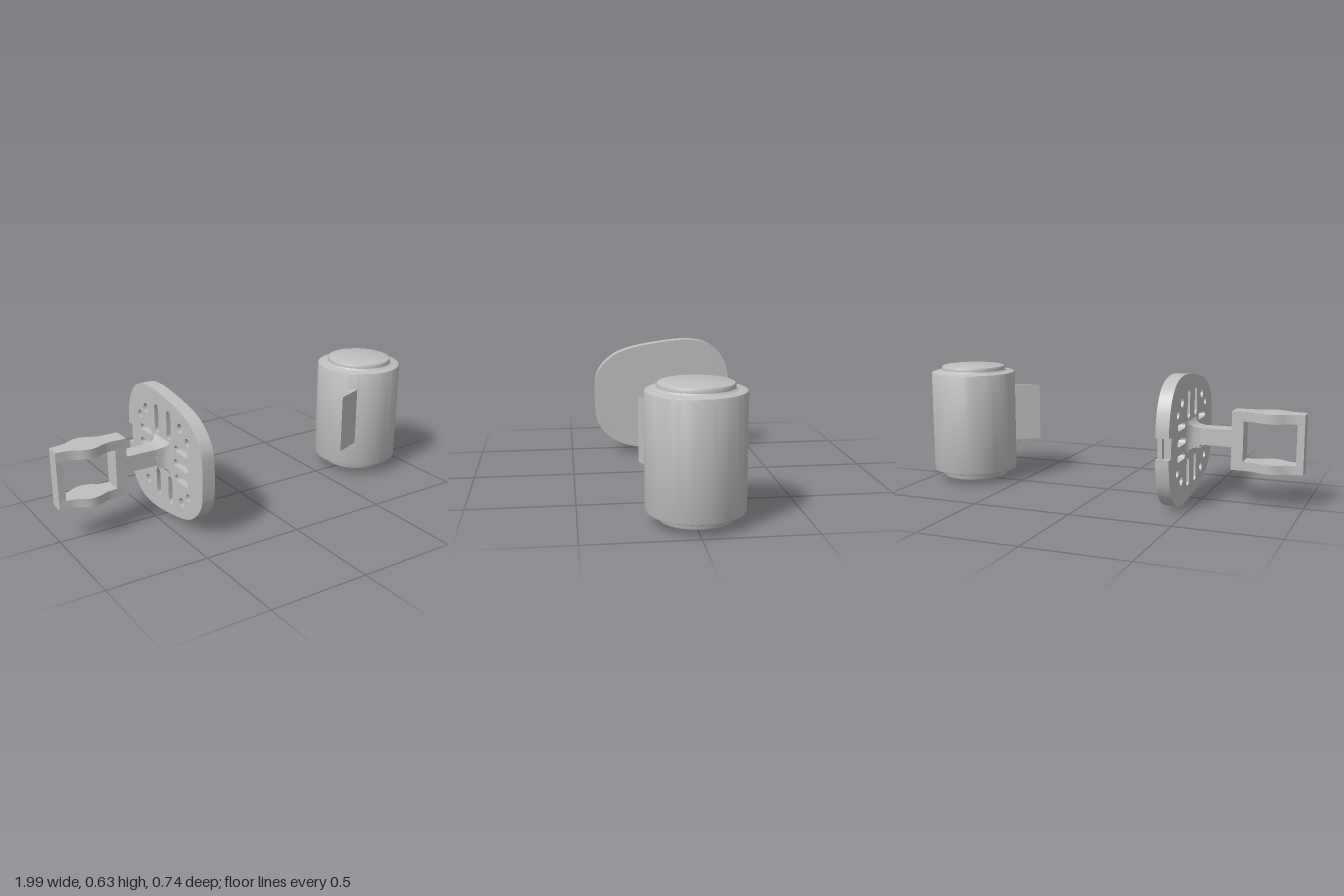
import * as THREE from 'three';
import { toCreasedNormals } from 'three/addons/utils/BufferGeometryUtils.js';

const MID = 0.316; // height of the plate's symmetry line
const V = (x, y) => new THREE.Vector2(x, y);

export function createModel() {
  const group = new THREE.Group();
  const grey = new THREE.MeshStandardMaterial({ color: 0xbfbfbf });
  grey.name = 'grey plastic';

  const add = (name, geo, parent = group, crease = 0.6) => {
    const mesh = new THREE.Mesh(toCreasedNormals(geo, crease), grey);
    mesh.name = name;
    parent.add(mesh);
    return mesh;
  };
  const extrude = (shape, depth) =>
    new THREE.ExtrudeGeometry(shape, { depth, bevelEnabled: false, curveSegments: 12 });
  // shape in (-z, y), pushed along x from x0 to x1
  const alongX = (shape, x0, x1) => extrude(shape, x1 - x0).rotateY(Math.PI / 2).translate(x0, 0, 0);
  // shape in (x, -z), pushed along y from y0 to y1
  const alongY = (shape, y0, y1) => extrude(shape, y1 - y0).rotateX(-Math.PI / 2).translate(0, y0, 0);
  const box = (x0, x1, y0, y1, z0, z1) => new THREE.BoxGeometry(x1 - x0, y1 - y0, z1 - z0)
    .translate((x0 + x1) / 2, (y0 + y1) / 2, (z0 + z1) / 2);

  // ---- Canister: stepped, bevelled body of revolution ----
  const canister = new THREE.Group();
  canister.name = 'canister';
  group.add(canister);
  const profile = [
    [0, 0.017], [0.155, 0.017], [0.163, 0.020], [0.167, 0.028], [0.167, 0.042], [0.172, 0.051], [0.180, 0.055],
    [0.210, 0.055], [0.217, 0.058], [0.220, 0.066], [0.220, 0.572], [0.217, 0.580], [0.210, 0.583],
    [0.180, 0.583], [0.172, 0.586], [0.167, 0.593], [0.167, 0.604], [0.163, 0.612], [0.155, 0.615], [0, 0.615],
  ].map(([r, y]) => V(r, y));
  add('canisterBody', new THREE.LatheGeometry(profile, 64).translate(0.776, 0, -0.008), canister);

  // Wedge-shaped tab on the canister's side
  const wedge = new THREE.Shape([V(0.491, -0.212), V(0.655, -0.150), V(0.66, -0.09), V(0.603, -0.128)]);
  add('canisterTab', alongY(wedge, 0.195, 0.495), canister, 0.2);

  // ---- Mounting plate ----
  const plate = new THREE.Group();
  plate.name = 'mountingPlate';
  group.add(plate);
  const upper = new THREE.CatmullRomCurve3([
    [0.371, 0.366], [0.367, 0.425], [0.345, 0.508], [0.303, 0.572], [0.24, 0.613], [0.14, 0.631],
    [-0.04, 0.615], [-0.20, 0.582], [-0.27, 0.550], [-0.33, 0.497], [-0.360, 0.445], [-0.369, 0.38], [-0.371, MID],
  ].map(([u, y]) => new THREE.Vector3(u, y, 0))).getPoints(64).map(p => V(p.x, p.y));
  const lower = upper.slice(0, -1).reverse().map(p => V(p.x, 2 * MID - p.y));
  const rim = [...upper, ...lower];
  // Closed outline with the edge notch cut in to the given depth
  const outline = notch => new THREE.Shape([V(notch, MID + 0.05), ...rim, V(notch, MID - 0.05)]);

  const slot = (u0, v0, u1, v1, r) => {
    const a = Math.atan2(v1 - v0, u1 - u0);
    const path = new THREE.Path();
    path.absarc(u1, v1, r, a - Math.PI / 2, a + Math.PI / 2);
    path.absarc(u0, v0, r, a + Math.PI / 2, a + Math.PI * 1.5);
    path.closePath();
    return path;
  };
  const hole = (u, v, r) => {
    const path = new THREE.Path();
    path.absarc(u, v, r, 0, Math.PI * 2);
    return path;
  };

  // Back layer with blind holes and slots
  const back = outline(0.335);
  for (const su of [-1, 1]) {
    back.holes.push(slot(su * 0.12, MID, su * 0.22, MID, 0.018));
    for (const sv of [-1, 1]) {
      back.holes.push(
        slot(su * 0.06, MID + sv * 0.115, su * 0.06, MID + sv * 0.22, 0.02),
        slot(su * 0.13, MID + sv * 0.075, su * 0.22, MID + sv * 0.075, 0.016),
        hole(su * 0.17, MID + sv * 0.19, 0.024),
        hole(su * 0.235, MID + sv * 0.14, 0.02),
      );
    }
  }
  add('plateBack', alongX(back, -0.443, -0.408), plate);
  add('platePanel', alongX(outline(0.363), -0.408, -0.386), plate);

  // Raised lip around the panel, open at the notch
  const inner = rim.map(p => V(p.x * 0.945, MID + (p.y - MID) * 0.94)).reverse();
  inner[0].y = MID - 0.05;
  inner[inner.length - 1].y = MID + 0.05;
  add('plateLip', alongX(new THREE.Shape([...rim, ...inner]), -0.386, -0.378), plate);

  // ---- Bracket: flared hub, arm and open frame ----
  const bracket = new THREE.Group();
  bracket.name = 'bracket';
  group.add(bracket);
  // Square hub flaring out towards the plate
  const flare = [[0.082, 0], [0.062, 0.012], [0.052, 0.03], [0.048, 0.058], [0, 0.06]]
    .map(([h, y]) => V(h * Math.SQRT2, y));
  const hub = new THREE.LatheGeometry(flare, 4).rotateY(Math.PI / 4).rotateZ(Math.PI / 2)
    .translate(-0.442, 0.32, -0.009);
  add('hub', hub, bracket);
  add('arm', box(-0.66, -0.44, 0.285, 0.367, -0.056, 0.037), bracket);

  // Bars with a swollen plan, mirrored about the centre line z = -0.01
  const half = [
    [-0.655, 0.047], [-0.73, 0.047], [-0.765, 0.052], [-0.805, 0.072], [-0.835, 0.080], [-0.865, 0.078],
    [-0.895, 0.062], [-0.92, 0.047], [-0.95, 0.041], [-0.998, 0.036],
  ];
  const plan = new THREE.Shape([
    ...half.map(([x, w]) => V(x, 0.01 + w)),
    ...half.slice().reverse().map(([x, w]) => V(x, 0.01 - w)),
  ]);
  add('frameTopBar', alongY(plan, 0.413, 0.459), bracket);
  add('frameBottomBar', alongY(plan, 0.174, 0.217), bracket);
  add('frameOuterPost', box(-0.998, -0.963, 0.2, 0.43, -0.046, 0.026), bracket);
  add('frameInnerPost', box(-0.712, -0.655, 0.2, 0.43, -0.057, 0.037), bracket);

  return group;
}
